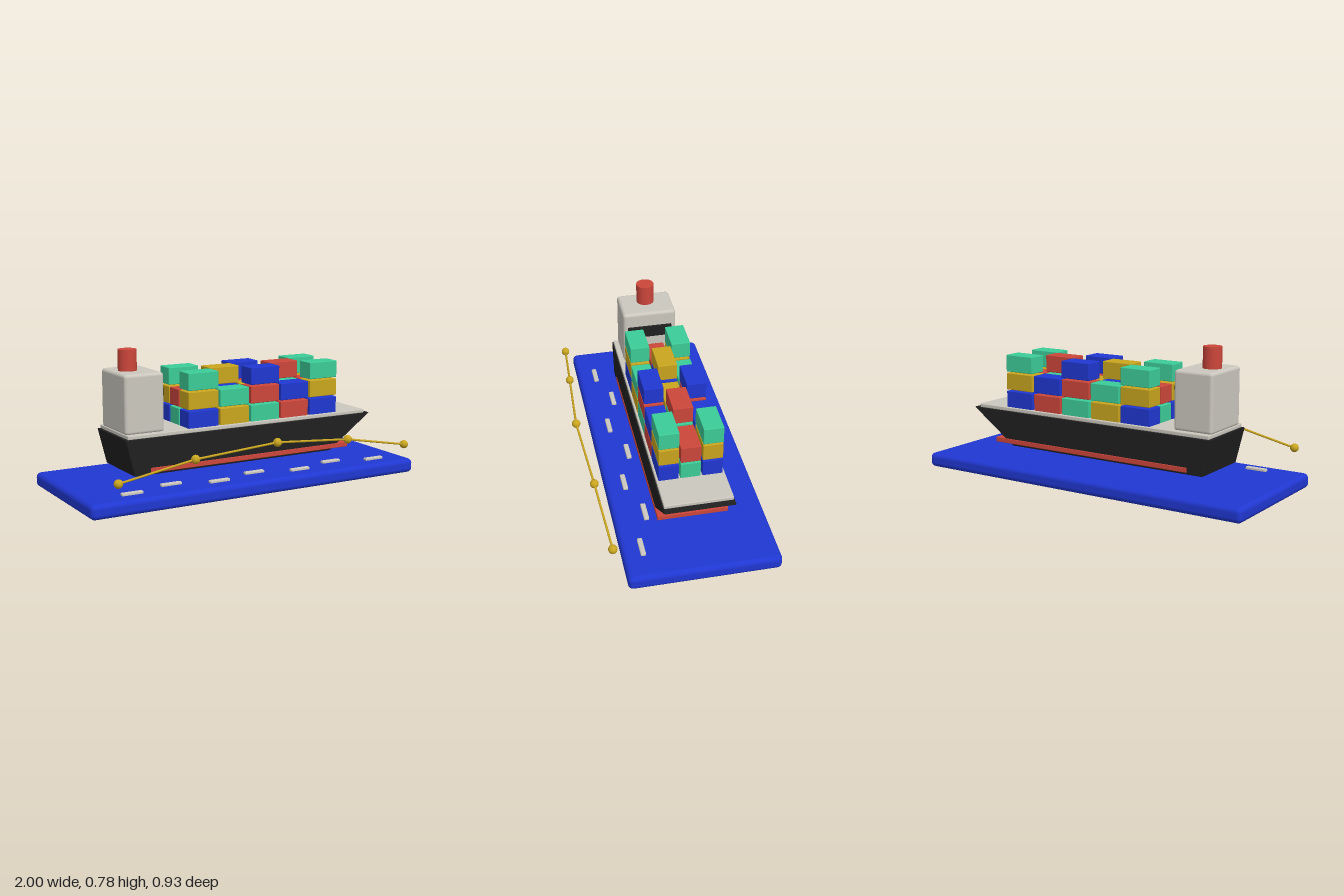
import * as THREE from 'three';
import { RoundedBoxGeometry } from 'three/addons/geometries/RoundedBoxGeometry.js';

const mat = (name, color) => Object.assign(new THREE.MeshStandardMaterial({ color }), { name });

export function createModel() {
  const blue = mat('blue', 0x2037d2);
  const black = mat('black', 0x202020);
  const red = mat('red', 0xcc463b);
  const cream = mat('cream', 0xcbc7be);
  const yellow = mat('yellow', 0xc9a51f);
  const green = mat('green', 0x3ccc98);

  const model = new THREE.Group();
  model.name = 'containerShip';
  const midZ = -0.066; // centre line of the ship

  const add = (name, geometry, material, x, y, z, parent = model) => {
    const mesh = new THREE.Mesh(geometry, material);
    mesh.name = name;
    mesh.position.set(x, y, z);
    parent.add(mesh);
    return mesh;
  };
  const group = (name) => {
    const g = new THREE.Group();
    g.name = name;
    model.add(g);
    return g;
  };
  const box = (w, h, d, r) => new RoundedBoxGeometry(w, h, d, 3, r);

  // Sea slab
  add('sea', box(2, 0.08, 0.797, 0.027), blue, 0, 0.04, midZ);

  // Foam dashes in two staggered lines
  const foam = group('foam');
  for (let i = 0; i < 7; i++) {
    add('foamDash', box(0.12, 0.018, 0.028, 0.006), cream,
      -0.735 + i * 0.254, 0.085, i % 2 ? 0.162 : 0.228, foam);
  }

  // Hull: side profile extruded across the beam
  const b = 0.004;
  const profile = new THREE.Shape([
    [-0.663, 0.138 + b], [0.56, 0.138 + b], [0.83, 0.335 - b], [-0.711, 0.335 - b],
  ].map(([x, y]) => new THREE.Vector2(x, y)));
  const hull = new THREE.ExtrudeGeometry(profile, {
    depth: 0.37 - 2 * b, bevelEnabled: true, bevelSize: b, bevelThickness: b, bevelSegments: 1,
  });
  hull.translate(0, 0, -0.185 + b);
  add('hull', hull, black, 0, 0, midZ);
  add('waterline', box(1.255, 0.027, 0.376, 0.003), red, 0.052, 0.161, midZ);
  add('deck', box(1.5, 0.022, 0.36, 0.005), cream, 0.05, 0.344, midZ);

  // Bridge house, window band and funnel
  add('bridgeHouse', box(0.225, 0.318, 0.306, 0.018), cream, -0.588, 0.509, midZ);
  add('bridgeWindow', box(0.016, 0.07, 0.255, 0.004), black, -0.474, 0.548, midZ);
  add('funnel', new THREE.CylinderGeometry(0.05, 0.05, 0.13, 32), red, -0.615, 0.716, midZ);

  // Containers: cycling colours, alternating stacks of three and two
  const containers = group('containers');
  const palette = [blue, yellow, green, red];
  const crate = box(0.181, 0.095, 0.106, 0.004);
  for (let col = 0; col < 5; col++) {
    for (let row = 0; row < 3; row++) {
      const height = 3 - (col + row) % 2;
      for (let level = 0; level < height; level++) {
        add('container', crate, palette[(col + level + 2 * row) % 4],
          -0.251 + col * 0.1925, 0.399 + level * 0.103, 0.05 - row * 0.115, containers);
      }
    }
  }

  // Beaded line floating in front of the ship
  const line = group('beadedLine');
  const points = [
    [-0.88, 0.19, 0.389], [-0.468, 0.269, 0.415], [0, 0.309, 0.442],
    [0.468, 0.269, 0.415], [0.88, 0.19, 0.389],
  ].map((p) => new THREE.Vector3(...p));
  const bead = new THREE.SphereGeometry(0.0235, 20, 14);
  points.forEach((p, i) => {
    add('bead', bead, yellow, p.x, p.y, p.z, line);
    if (i === 0) return;
    const span = p.clone().sub(points[i - 1]);
    const mid = p.clone().add(points[i - 1]).multiplyScalar(0.5);
    const rod = add('lineSegment', new THREE.CylinderGeometry(0.006, 0.006, span.length(), 10),
      yellow, mid.x, mid.y, mid.z, line);
    rod.quaternion.setFromUnitVectors(new THREE.Vector3(0, 1, 0), span.normalize());
  });

  return model;
}
